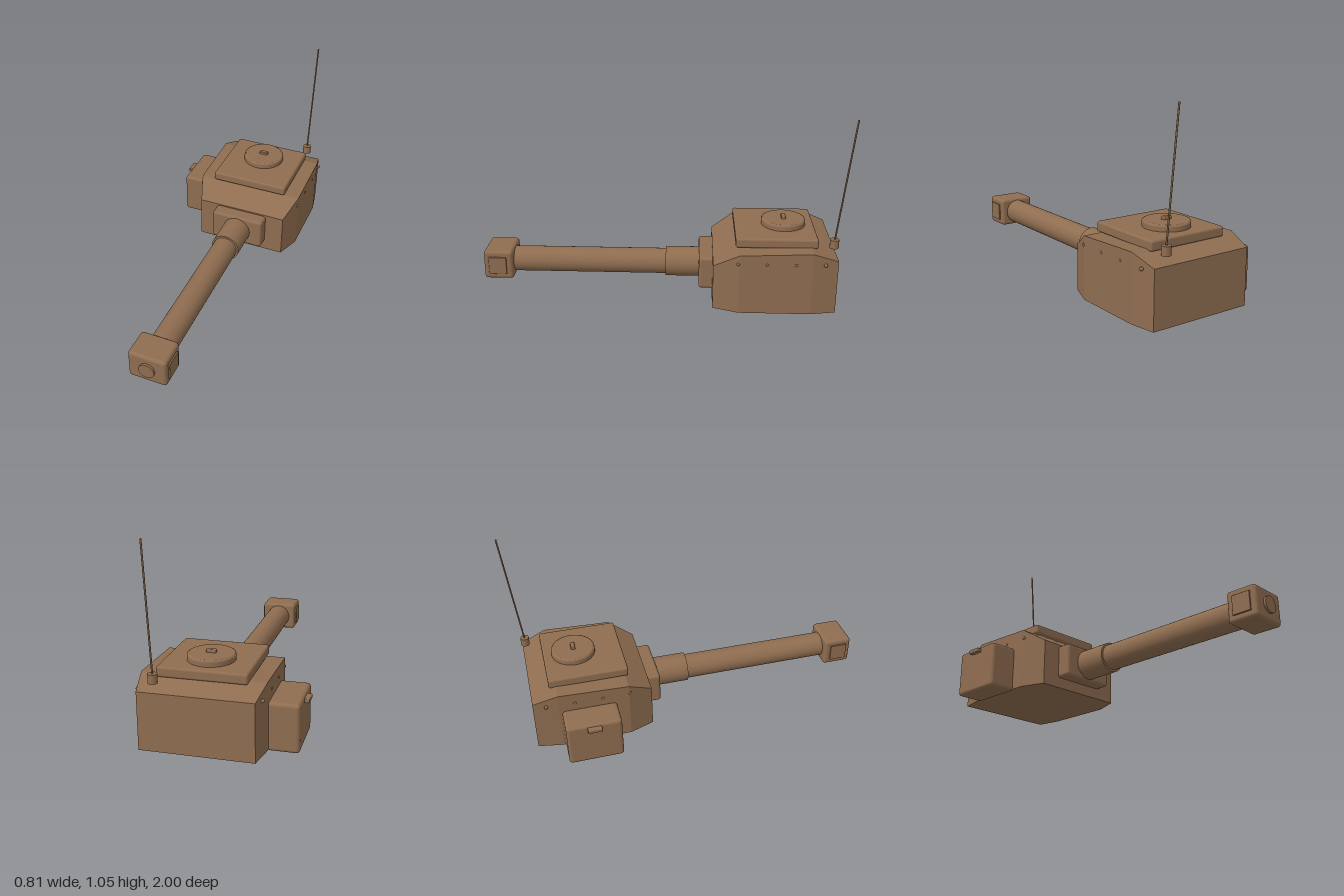
import * as THREE from 'three';
import { RoundedBoxGeometry } from 'three/addons/geometries/RoundedBoxGeometry.js';

const CX = 0.087; // centre line of the turret and gun
const GUN_Y = 0.162;

// Faceted hull from four-cornered sections: [z, half width, top height]
function hullGeometry(sections, bottom) {
  const rings = sections.map(([z, w, top]) => [[-w, bottom, z], [w, bottom, z], [w, top, z], [-w, top, z]]);
  const pos = [];
  const quad = (a, b, c, d) => pos.push(...a, ...b, ...c, ...a, ...c, ...d);
  for (let i = 0; i < rings.length - 1; i++) {
    const p = rings[i], q = rings[i + 1];
    for (let j = 0; j < 4; j++) {
      const k = (j + 1) % 4;
      quad(p[j], p[k], q[k], q[j]);
    }
  }
  quad(...rings[rings.length - 1]);
  quad(...[...rings[0]].reverse());
  const g = new THREE.BufferGeometry();
  g.setAttribute('position', new THREE.Float32BufferAttribute(pos, 3));
  g.computeVertexNormals();
  return g;
}

export function createModel() {
  const model = new THREE.Group();
  model.name = 'turret';
  const paint = new THREE.MeshStandardMaterial({ color: 0x8f6d50 });
  paint.name = 'brown paint';

  const add = (name, geometry, x = 0, y = 0, z = 0) => {
    const mesh = new THREE.Mesh(geometry, paint);
    mesh.name = name;
    mesh.position.set(x, y, z);
    model.add(mesh);
    return mesh;
  };
  // Rounded box given by its extents
  const box = (name, x0, x1, y0, y1, z0, z1, r) =>
    add(name, new RoundedBoxGeometry(x1 - x0, y1 - y0, z1 - z0, 3, r),
      (x0 + x1) / 2, (y0 + y1) / 2, (z0 + z1) / 2);
  // Cylinder along z on the gun axis
  const gunTube = (name, r, z0, z1) =>
    add(name, new THREE.CylinderGeometry(r, r, z1 - z0, 40).rotateX(Math.PI / 2), CX, GUN_Y, (z0 + z1) / 2);

  // Armoured hull
  add('hull', hullGeometry([
    [-0.945, 0.288, 0.31],
    [-0.81, 0.313, 0.36],
    [-0.425, 0.313, 0.345],
    [-0.29, 0.264, 0.262],
  ], 0.011), CX);

  // Gun
  box('mantlet', -0.071, 0.243, 0.07, 0.254, -0.31, -0.215, 0.016);
  gunTube('barrelSleeve', 0.083, -0.225, -0.03);
  gunTube('barrel', 0.071, -0.04, 0.84);
  box('muzzleBrake', -0.02, 0.19, 0.079, 0.245, 0.825, 0.988, 0.018);
  gunTube('muzzleCap', 0.043, 0.98, 1);
  for (const s of [-1, 1]) {
    const x = CX - 0.002 + s * 0.103;
    box('muzzleSidePlate', x - 0.01, x + 0.01, 0.112, 0.212, 0.86, 0.96, 0.002);
  }

  // Roof plate and hatch
  box('roofPlate', -0.14, 0.314, 0.35, 0.404, -0.845, -0.408, 0.012);
  const hatchProfile = [[0, 0], [0.121, 0], [0.121, 0], [0.121, 0.025], [0.121, 0.025],
    [0.118, 0.032], [0.112, 0.035], [0.112, 0.035], [0, 0.035]];
  add('hatch', new THREE.LatheGeometry(hatchProfile.map(([x, y]) => new THREE.Vector2(x, y)), 48),
    0.085, 0.403, -0.677);
  box('hatchHandle', 0.06, 0.111, 0.43, 0.454, -0.689, -0.665, 0.005);

  // Stowage box on the right side
  box('stowageBox', -0.378, -0.218, 0.002, 0.253, -0.795, -0.495, 0.018);
  box('stowageHandle', -0.403, -0.37, 0.219, 0.241, -0.683, -0.605, 0.005);

  // Rivets along both sides
  for (const s of [-1, 1])
    for (const z of [-0.42, -0.57, -0.722, -0.875])
      add('rivet', new THREE.SphereGeometry(0.01, 14, 10), CX + s * 0.307, 0.296, z);

  // Antenna, leaning backwards
  add('antennaBase', new THREE.CylinderGeometry(0.024, 0.024, 0.047, 24), 0.295, 0.379, -0.928);
  const foot = new THREE.Vector3(0.295, 0.39, -0.928);
  const tip = new THREE.Vector3(0.295, 1.053, -0.997);
  add('antennaRod', new THREE.TubeGeometry(new THREE.LineCurve3(foot, tip), 1, 0.0045, 10));
  const cap = add('antennaTip', new THREE.CircleGeometry(0.0045, 10), tip.x, tip.y, tip.z);
  cap.lookAt(tip.clone().multiplyScalar(2).sub(foot));

  return model;
}
